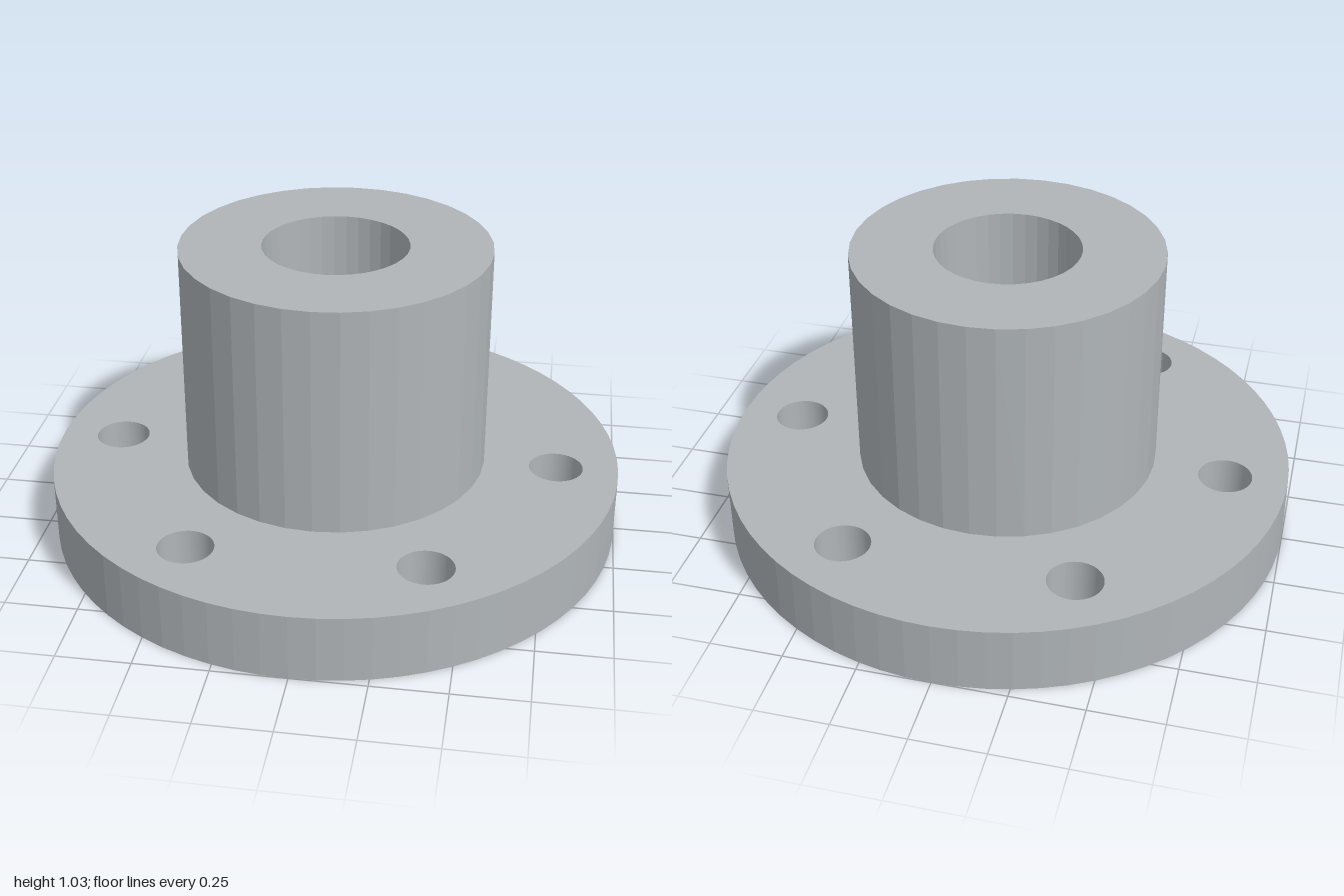
import * as THREE from 'three';

const SIDES = 36;
const FLANGE_HEIGHT = 0.235, FLANGE_RADIUS = 1;
const HUB_TOP = 1.035, HUB_RADIUS = 0.53, BORE_RADIUS = 0.25;
const BOLT_COUNT = 6, BOLT_CIRCLE = 0.783, BOLT_RADIUS = 0.094;

// Circular outline or hole
function circle(PathType, x, y, radius) {
  return new PathType().absarc(x, y, radius, 0, Math.PI * 2, false);
}

export function createModel() {
  const model = new THREE.Group();
  model.name = 'flangedHub';
  const steel = new THREE.MeshStandardMaterial({ color: 0xb0b5b8 });
  steel.name = 'steel grey';

  // Flange disc with the bore and a ring of bolt holes
  const outline = circle(THREE.Shape, 0, 0, FLANGE_RADIUS);
  outline.holes.push(circle(THREE.Path, 0, 0, BORE_RADIUS));
  for (let i = 0; i < BOLT_COUNT; i++) {
    const a = (i / BOLT_COUNT) * Math.PI * 2;
    outline.holes.push(circle(THREE.Path, Math.cos(a) * BOLT_CIRCLE, Math.sin(a) * BOLT_CIRCLE, BOLT_RADIUS));
  }
  const flangeGeometry = new THREE.ExtrudeGeometry(outline, {
    depth: FLANGE_HEIGHT, bevelEnabled: false, curveSegments: SIDES,
  });
  flangeGeometry.rotateX(-Math.PI / 2);
  const flange = new THREE.Mesh(flangeGeometry, steel);
  flange.name = 'flange';

  // Hub: outer wall, top rim and bore wall in one faceted turning
  const profile = [
    new THREE.Vector2(HUB_RADIUS, FLANGE_HEIGHT),
    new THREE.Vector2(HUB_RADIUS, HUB_TOP),
    new THREE.Vector2(BORE_RADIUS, HUB_TOP),
    new THREE.Vector2(BORE_RADIUS, FLANGE_HEIGHT),
  ];
  const hubGeometry = new THREE.LatheGeometry(profile, SIDES).toNonIndexed();
  hubGeometry.computeVertexNormals();
  const hub = new THREE.Mesh(hubGeometry, steel);
  hub.name = 'hub';

  model.add(flange, hub);
  return model;
}
